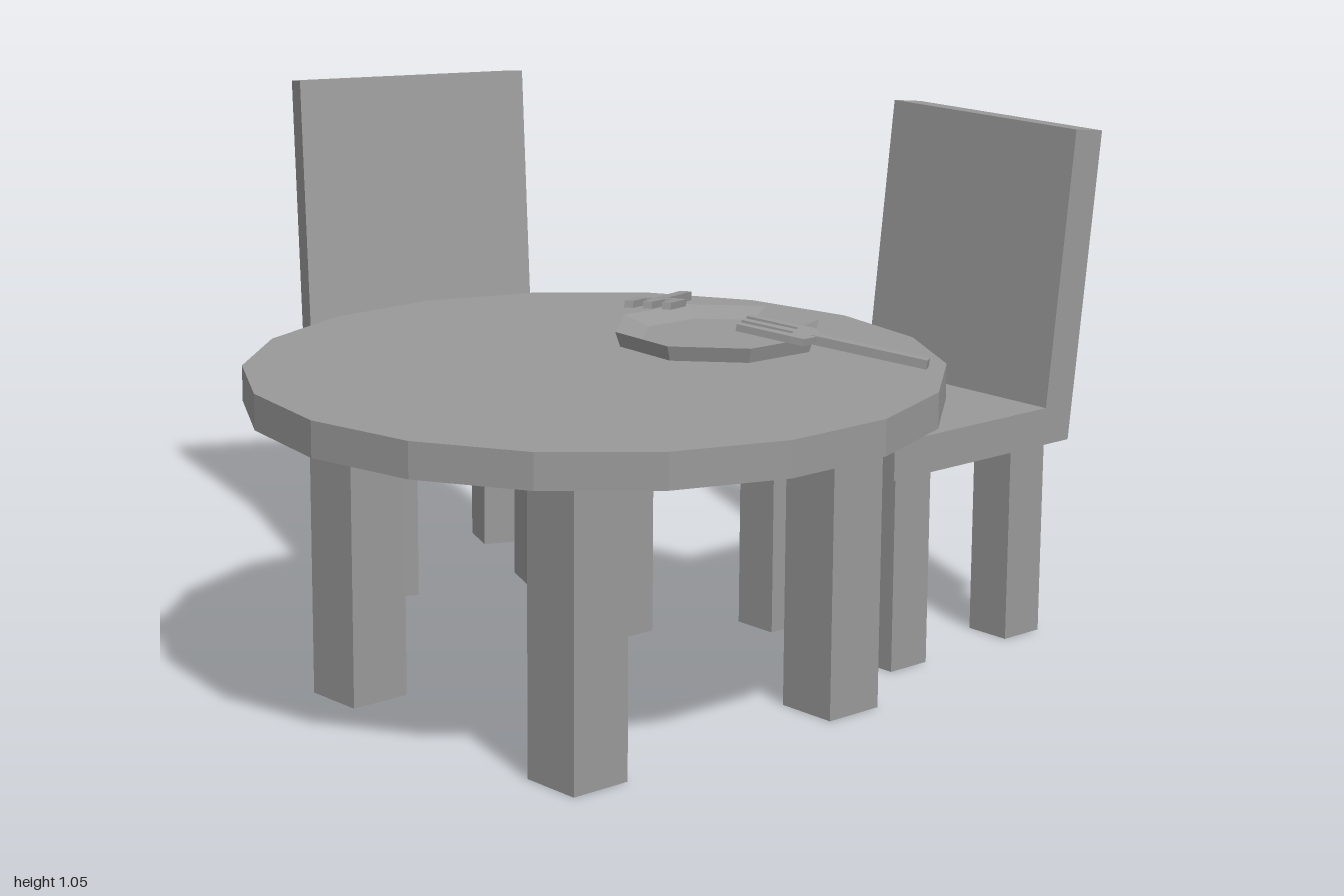
import * as THREE from 'three';

const material = new THREE.MeshStandardMaterial({ color: 0x999999, flatShading: true });

function part(name, geometry, x = 0, y = 0, z = 0) {
  const mesh = new THREE.Mesh(geometry, material);
  mesh.name = name;
  mesh.position.set(x, y, z);
  return mesh;
}

function shapeOf(points) {
  return new THREE.Shape(points.map(([x, y]) => new THREE.Vector2(x, y)));
}

// Four square legs standing on the ground
function addLegs(group, name, size, height, dx, dz) {
  for (const sx of [-1, 1]) {
    for (const sz of [-1, 1]) {
      group.add(part(name, new THREE.BoxGeometry(size, height, size), sx * dx, height / 2, sz * dz));
    }
  }
}

function createTable() {
  const table = new THREE.Group();
  table.name = 'table';
  const top = part('tableTop', new THREE.CylinderGeometry(0.675, 0.675, 0.07, 18), 0, 0.64, 0);
  top.rotation.y = Math.PI / 2;
  table.add(top);
  addLegs(table, 'tableLeg', 0.13, 0.606, 0.325, 0.328);
  table.position.set(-0.222, 0, 0.335);
  return table;
}

// Chair whose leaning back is on its +x side
function createChair(x, z, turn) {
  const chair = new THREE.Group();
  chair.name = 'chair';
  const width = 0.51;
  const profile = shapeOf([
    [-0.255, 0.41], [0.255, 0.41], [0.328, 1.045],
    [0.25, 1.055], [0.185, 0.487], [-0.255, 0.487],
  ]);
  const body = new THREE.ExtrudeGeometry(profile, { depth: width, bevelEnabled: false });
  chair.add(part('seatAndBack', body, 0, 0, -width / 2));
  addLegs(chair, 'chairLeg', 0.1, 0.411, 0.168, 0.173);
  chair.position.set(x, 0, z);
  chair.rotation.y = turn;
  return chair;
}

// Eight-sided dish with a sloping rim
function createPlate() {
  const profile = [[0, 0], [0.2, 0], [0.21, 0.03], [0.155, 0.012], [0, 0.012]];
  const geometry = new THREE.LatheGeometry(profile.map(([x, y]) => new THREE.Vector2(x, y)), 8);
  const plate = part('plate', geometry, 0.095, 0.676, 0.34);
  plate.rotation.y = Math.PI / 8 - 0.05;
  return plate;
}

// Fork lying along +x from the handle end, tilted up onto the plate rim
function createFork(x, z, dirX, dirZ) {
  const fork = new THREE.Group();
  fork.name = 'fork';
  const flat = (points, depth) => {
    const geometry = new THREE.ExtrudeGeometry(shapeOf(points), { depth, bevelEnabled: false });
    return geometry.rotateX(-Math.PI / 2);
  };
  fork.add(part('forkHandle', flat([[0, -0.012], [0.23, -0.012], [0.23, 0.012], [0, 0.012]], 0.018)));

  // Head outline: neck, then three tines side by side
  const outline = [[0.22, 0.014], [0.22, -0.014], [0.235, -0.05]];
  for (const w of [-0.038, 0, 0.038]) {
    outline.push([0.265, w - 0.012], [0.37, w - 0.009], [0.37, w + 0.009], [0.265, w + 0.012]);
  }
  outline.push([0.235, 0.05]);
  fork.add(part('forkHead', flat(outline, 0.014), 0, 0.003, 0));

  fork.position.set(x, 0.678, z);
  fork.rotation.set(0, Math.atan2(-dirZ, dirX), 0.15);
  return fork;
}

export function createModel() {
  const model = new THREE.Group();
  model.name = 'diningSet';
  model.add(
    createTable(),
    createChair(0.564, 0.368, 0),
    createChair(0.152, -0.596, 1.17),
    createPlate(),
    createFork(0.3, 0.022, -0.81, 0.58),
    createFork(0.23, 0.78, -0.53, -0.85),
  );
  return model;
}
